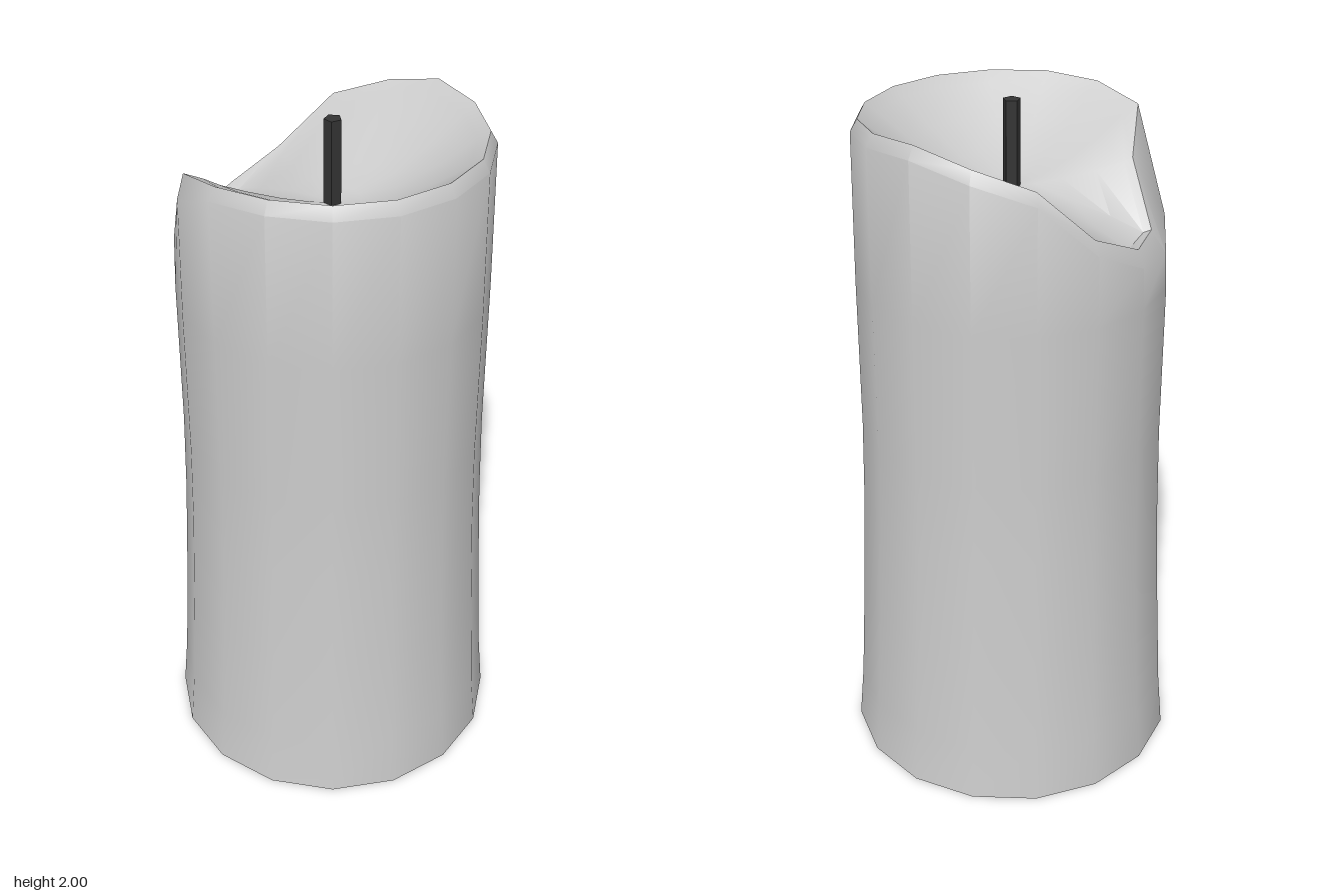
import * as THREE from 'three';
import { toCreasedNormals } from 'three/addons/utils/BufferGeometryUtils.js';

const SIDES = 16;
const BOWL_Y = 1.755;

// Rim outline, counter-clockwise from +x through the back; melted spout at -x
const crestY = [1.96, 1.96, 1.965, 1.975, 1.985, 1.945, 1.89, 1.74, 1.67, 1.665, 1.82, 1.92, 1.95, 1.96, 1.96, 1.96];
const shoulderY = crestY.map((y) => y - 0.035);
Object.assign(shoulderY, { 7: 1.7, 8: 1.62, 9: 1.6, 10: 1.65, 11: 1.85 });
const crestR = Array(SIDES).fill(0.413);
Object.assign(crestR, { 9: 0.39, 10: 0.335 });
const innerR = Array(SIDES).fill(0.38);
Object.assign(innerR, { 9: 0.368, 10: 0.31, 11: 0.36 });

// Ring of points; radius and height are functions of the side index
function ring(radius, height) {
  return Array.from({ length: SIDES }, (_, k) => {
    const a = (k / SIDES) * Math.PI * 2;
    return [radius(k) * Math.cos(a), height(k), -radius(k) * Math.sin(a)];
  });
}

// Skin stacked rings, closing both ends with a centre point
function loft(rings, startY, endY) {
  const points = rings.flat();
  const index = [];
  const start = points.push([0, startY, 0]) - 1;
  const end = points.push([0, endY, 0]) - 1;
  const last = (rings.length - 1) * SIDES;
  for (let k = 0; k < SIDES; k++) {
    const n = (k + 1) % SIDES;
    index.push(start, n, k, end, last + k, last + n);
    for (let r = 0; r < last; r += SIDES) {
      index.push(r + k, r + n, r + SIDES + n, r + k, r + SIDES + n, r + SIDES + k);
    }
  }
  const geo = new THREE.BufferGeometry();
  geo.setAttribute('position', new THREE.Float32BufferAttribute(points.flat(), 3));
  geo.setIndex(index);
  return toCreasedNormals(geo, 0.62);
}

export function createModel() {
  const group = new THREE.Group();

  // Flared wall, rounded rim and dished top in one continuous skin
  const wall = [[0.49, 0], [0.475, 0.17], [0.458, 0.48], [0.444, 0.8], [0.438, 1.05], [0.438, 1.5]];
  const rings = wall.map(([r, y]) => ring(() => r, () => y));
  const innerY = (k) => crestY[k] - (k > 6 && k < 11 ? 0.01 : 0.025);
  rings.push(ring(() => 0.433, (k) => shoulderY[k]));
  rings.push(ring((k) => crestR[k], (k) => crestY[k]));
  rings.push(ring((k) => innerR[k], innerY));
  for (const t of [0.75, 0.45, 0.2]) {
    rings.push(ring((k) => innerR[k] * t, (k) => BOWL_Y + (innerY(k) - BOWL_Y) * t ** 1.7));
  }
  const wax = new THREE.Mesh(
    loft(rings, 0, BOWL_Y),
    new THREE.MeshStandardMaterial({ color: 0xcccccc })
  );
  wax.name = 'waxBody';
  group.add(wax);

  // Five-sided wick
  const wick = new THREE.Mesh(
    new THREE.CylinderGeometry(0.025, 0.025, 0.27, 5),
    new THREE.MeshStandardMaterial({ color: 0x333333, flatShading: true })
  );
  wick.name = 'wick';
  wick.position.y = 2 - 0.135;
  wick.rotation.y = Math.PI;
  group.add(wick);

  return group;
}
